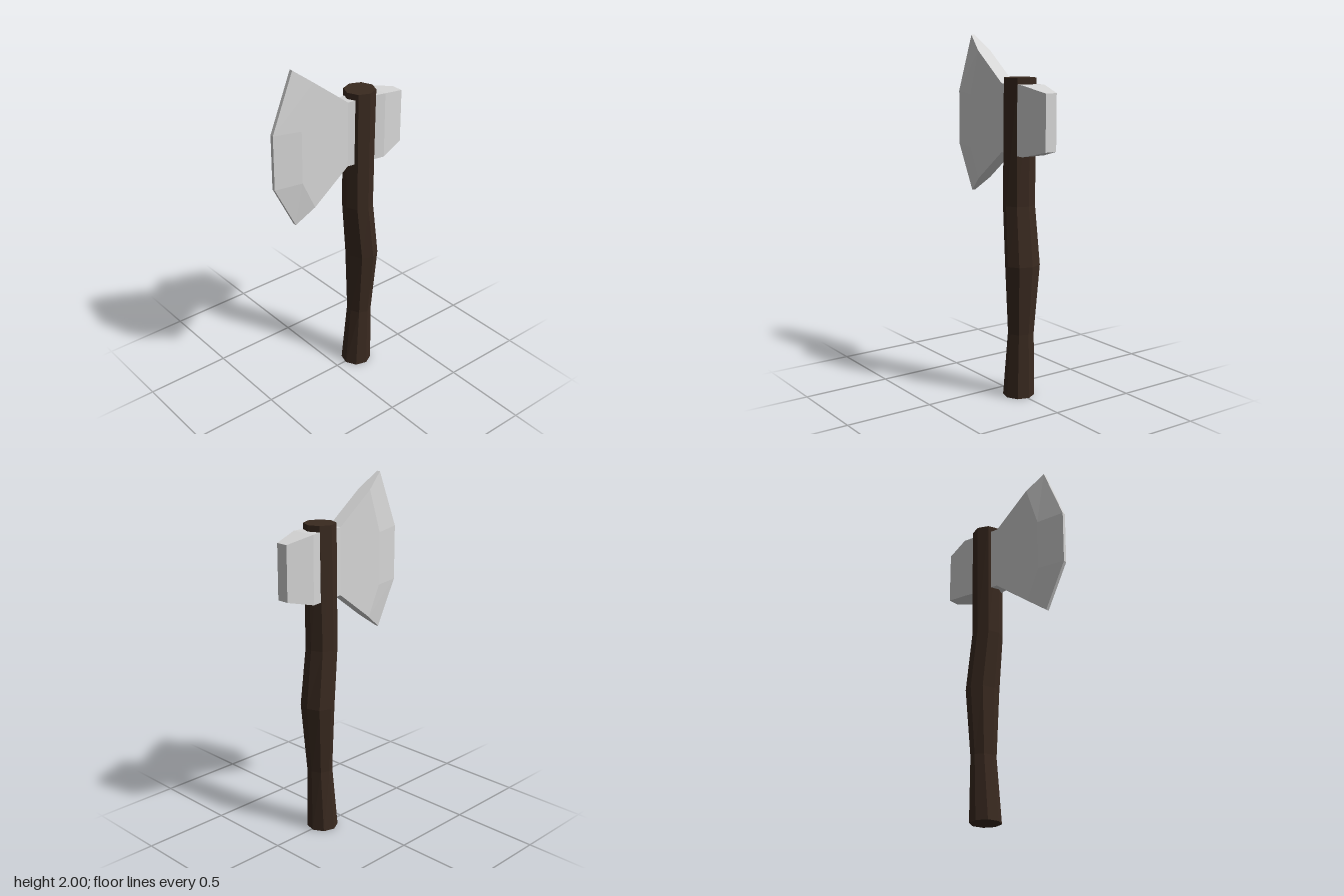
import * as THREE from 'three';

const wood = new THREE.MeshStandardMaterial({ name: 'darkWood', color: 0x3a2a20, flatShading: true });
const steel = new THREE.MeshStandardMaterial({ name: 'paleSteel', color: 0xd6d6d6, flatShading: true });

// Crooked octagonal haft: rings of [y, centre z, half width, half depth, twist]
function makeHandle() {
  const rings = [
    [0, -0.149, 0.088, 0.088, 0.1],
    [0.37, -0.168, 0.075, 0.068, 0.05],
    [0.76, -0.181, 0.102, 0.087, 0.05],
    [1.09, -0.147, 0.09, 0.085, 0.05],
    [1.78, -0.154, 0.088, 0.088, 0],
  ];
  const geo = new THREE.CylinderGeometry(1, 1, 4, 8, 4);
  const p = geo.attributes.position;
  for (let i = 0; i < p.count; i++) {
    const [y, zc, rx, rz, twist] = rings[Math.round(p.getY(i) + 2)];
    const x = p.getX(i), z = p.getZ(i);
    const c = Math.cos(twist), s = Math.sin(twist);
    p.setXYZ(i, (x * c + z * s) * rx, y, zc + (z * c - x * s) * rz);
  }
  geo.computeVertexNormals();
  const mesh = new THREE.Mesh(geo, wood);
  mesh.name = 'handle';
  return mesh;
}

// Mirrored head: each profile point is [z, y, half thickness]
function makeHead() {
  const pts = [
    [-0.425, 1.405, 0.035], [-0.425, 1.71, 0.035],              // poll end
    [-0.272, 1.745, 0.073], [-0.2, 1.747, 0.06],                // poll top
    [-0.08, 1.745, 0.046], [-0.04, 1.745, 0.04],                // neck top
    [0.187, 1.917, 0.04],                                       // upper shoulder
    [0.297, 2, 0.01], [0.428, 1.68, 0.01],                      // cutting edge
    [0.428, 1.37, 0.01], [0.297, 1.113, 0.01],
    [0.187, 1.197, 0.04],                                       // lower shoulder
    [-0.04, 1.37, 0.04], [-0.08, 1.37, 0.046],                  // neck bottom
    [-0.2, 1.367, 0.06], [-0.272, 1.368, 0.073],                // poll bottom
    [0.268, 1.67, 0.04], [0.268, 1.37, 0.04],                   // inner bevel corners
  ];
  const sides = [
    [0, 1, 2, 15], [15, 2, 3, 14], [14, 3, 4, 13], [13, 4, 5, 12], [12, 5, 6, 11],
    [11, 6, 16, 17], [6, 7, 8, 16], [16, 8, 9, 17], [17, 9, 10, 11],
  ];
  const n = pts.length, rim = 16;
  const pos = [], idx = [];
  for (const s of [1, -1]) for (const [z, y, h] of pts) pos.push(s * h, y, z);
  const quad = (a, b, c, d) => idx.push(a, b, c, a, c, d);
  for (const [a, b, c, d] of sides) {
    quad(a, b, c, d);
    quad(d + n, c + n, b + n, a + n);
  }
  // Strip joining both sides around the outline
  for (let a = 0; a < rim; a++) {
    const b = (a + 1) % rim;
    quad(b, a, a + n, b + n);
  }
  const indexed = new THREE.BufferGeometry();
  indexed.setAttribute('position', new THREE.Float32BufferAttribute(pos, 3));
  indexed.setIndex(idx);
  const geo = indexed.toNonIndexed();
  geo.computeVertexNormals();
  const mesh = new THREE.Mesh(geo, steel);
  mesh.name = 'axeHead';
  return mesh;
}

export function createModel() {
  const group = new THREE.Group();
  group.name = 'axe';
  group.add(makeHandle(), makeHead());
  return group;
}
